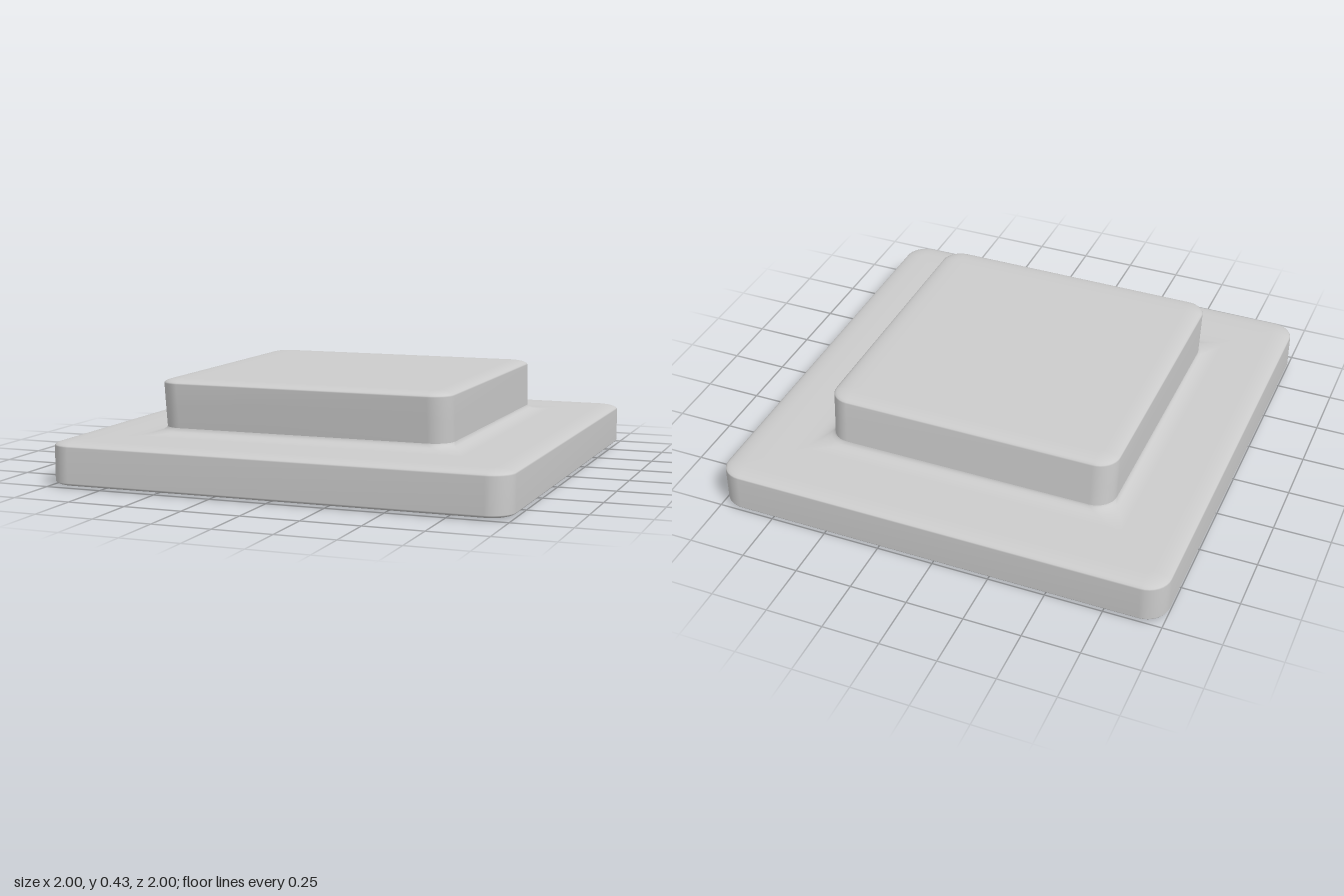
import * as THREE from 'three';

const CORNER_STEPS = 8;

// Outline of a rounded square, walked from +x towards +z
function roundedSquare(half, radius) {
  const points = [];
  const c = half - radius;
  for (let q = 0; q < 4; q++) {
    const mid = (q + 0.5) * Math.PI / 2;
    const cx = Math.sign(Math.cos(mid)) * c, cz = Math.sign(Math.sin(mid)) * c;
    for (let s = 0; s <= CORNER_STEPS; s++) {
      const a = (q + s / CORNER_STEPS) * Math.PI / 2;
      points.push([cx + radius * Math.cos(a), cz + radius * Math.sin(a)]);
    }
  }
  return points;
}

// Skin over rings of [half width, height, corner radius, z shift], bottom to top
function loft(name, rings, material) {
  const positions = [], index = [];
  const n = 4 * (CORNER_STEPS + 1);
  rings.forEach(([half, y, radius, dz = 0], i) => {
    for (const [x, z] of roundedSquare(half, radius)) positions.push(x, y, z + dz);
    if (i === 0) return;
    for (let j = 0; j < n; j++) {
      const k = (j + 1) % n, low = (i - 1) * n, up = i * n;
      index.push(low + j, up + j, low + k, up + j, up + k, low + k);
    }
  });
  const geometry = new THREE.BufferGeometry();
  geometry.setAttribute('position', new THREE.Float32BufferAttribute(positions, 3));
  geometry.setIndex(index);
  geometry.computeVertexNormals();
  const mesh = new THREE.Mesh(geometry, material);
  mesh.name = name;
  return mesh;
}

// Soft edge: quarter ellipse from the side wall (t = 0) to the flat face (t = 1)
function softEdge(half, radius, yWall, yFace, inset, dz = 0) {
  const rings = [];
  for (let s = 0; s <= 6; s++) {
    const a = s / 6 * Math.PI / 2;
    const d = inset * (1 - Math.cos(a));
    rings.push([half - d, yWall + (yFace - yWall) * Math.sin(a), radius - d, dz]);
  }
  return rings;
}

export function createModel() {
  const group = new THREE.Group();
  group.name = 'steppedPlinth';
  const material = new THREE.MeshStandardMaterial({ color: 0xcccccc });

  // Wide slab whose top sweeps up into the foot of the block
  const fillet = [];
  for (let s = 0; s <= 6; s++) {
    const a = s / 6 * Math.PI / 2;
    const t = Math.sin(a);
    fillet.push([0.725 - 0.078 * t, 0.22 - 0.03 * Math.cos(a), 0.015 + 0.075 * t]);
  }
  group.add(loft('base', [
    [0, 0, 0],
    [0.88, 0, 0.005],
    ...softEdge(1, 0.1, 0.02, 0, 0.09).reverse(),
    ...softEdge(1, 0.1, 0.17, 0.19, 0.09),
    [0.85, 0.19, 0.01],
    [0.76, 0.19, 0.01],
    ...fillet,
  ], material));

  // Upper block, leaning slightly forward
  group.add(loft('block', [
    [0.647, 0.22, 0.09, 0],
    [0.648, 0.31, 0.09, 0.01],
    ...softEdge(0.649, 0.09, 0.41, 0.43, 0.08, 0.02),
    [0.54, 0.43, 0.005, 0.02],
    [0, 0.43, 0, 0.02],
  ], material));

  return group;
}
